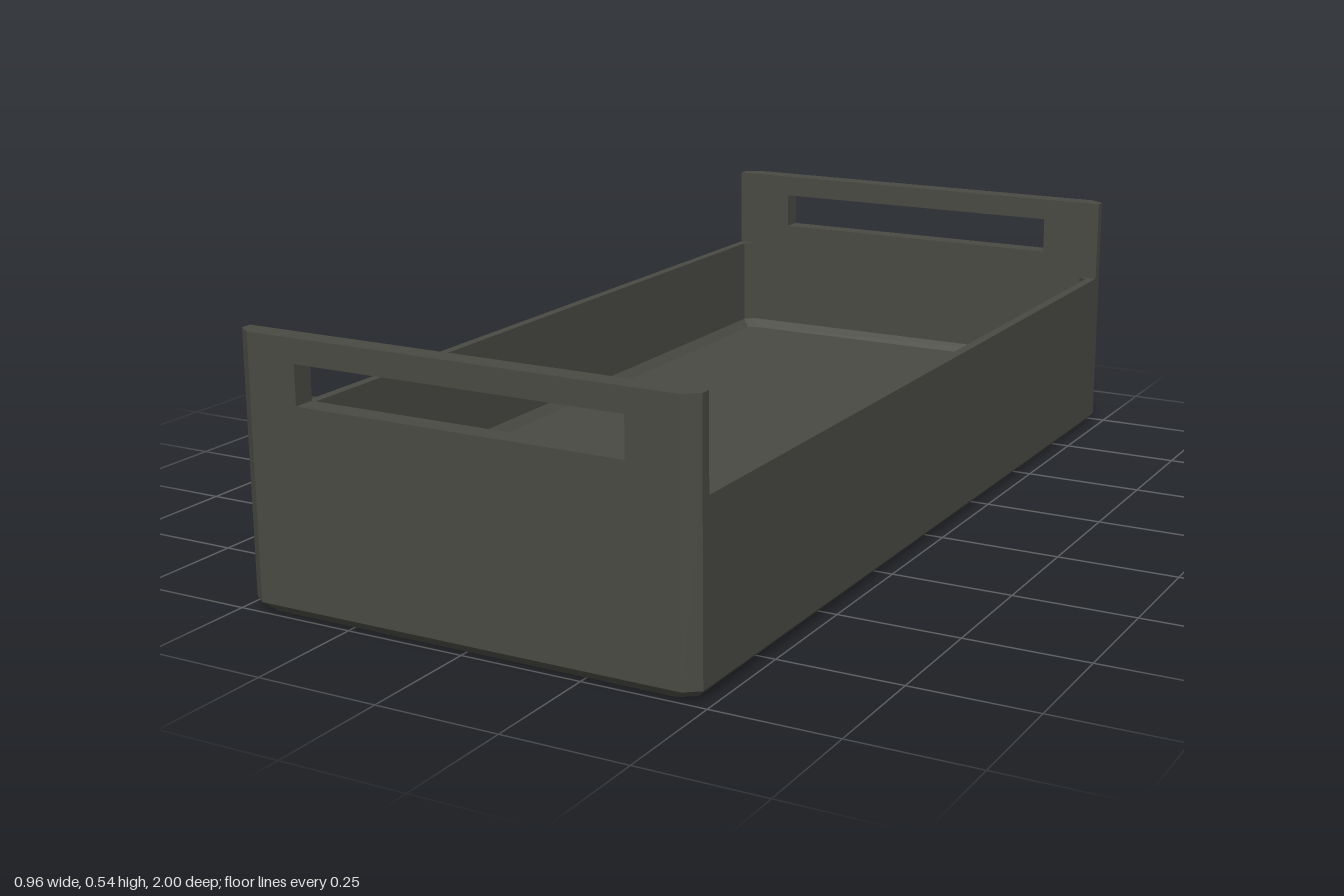
import * as THREE from 'three';

const HX = 0.48, HZ = 1.0;            // outer half width and half length
const RIM = 0.36, TOP = 0.54;         // side wall and end wall heights
const END = 0.045;                    // end wall thickness
const CX = 0.03, CZ = END / 2;        // vertical corner chamfer

// Chamfered rectangle at height y, counter-clockwise seen from above
function ring(y, hx, hz, cx, cz) {
  return [
    [hx, hz - cz], [hx, cz - hz], [hx - cx, -hz], [cx - hx, -hz],
    [-hx, cz - hz], [-hx, hz - cz], [cx - hx, hz], [hx - cx, hz],
  ].map(([x, z]) => [x, y, z]);
}

// Skin the rings in order and cap both ends
function loft(rings) {
  const p = [];
  const tri = (a, b, c) => p.push(...a, ...b, ...c);
  for (let r = 0; r < rings.length - 1; r++) {
    const a = rings[r], b = rings[r + 1], n = a.length;
    for (let i = 0; i < n; i++) {
      const j = (i + 1) % n;
      tri(a[i], a[j], b[j]);
      tri(a[i], b[j], b[i]);
    }
  }
  const first = rings[0], last = rings[rings.length - 1];
  for (let i = 1; i < first.length - 1; i++) {
    tri(first[0], first[i + 1], first[i]);
    tri(last[0], last[i], last[i + 1]);
  }
  const g = new THREE.BufferGeometry();
  g.setAttribute('position', new THREE.Float32BufferAttribute(p, 3));
  g.computeVertexNormals();
  return g;
}

// Raised end wall with a handle slot; its outer vertical edges are chamfered
function endWallGeometry() {
  const s = new THREE.Shape();
  s.moveTo(-HX, RIM).lineTo(HX, RIM).lineTo(HX, TOP).lineTo(-HX, TOP).closePath();
  const slot = new THREE.Path();
  slot.moveTo(-0.345, 0.413).lineTo(-0.345, 0.492).lineTo(0.345, 0.492).lineTo(0.345, 0.413).closePath();
  s.holes.push(slot);
  const g = new THREE.ExtrudeGeometry(s, { depth: END, steps: 2, bevelEnabled: false });
  const pos = g.attributes.position;
  for (let i = 0; i < pos.count; i++) {
    const x = pos.getX(i);
    if (pos.getZ(i) > END - 0.001 && Math.abs(x) > HX - 0.01) pos.setX(i, Math.sign(x) * (HX - CX));
  }
  g.translate(0, 0, HZ - END);
  g.computeVertexNormals();
  return g;
}

export function createModel() {
  const group = new THREE.Group();
  group.name = 'tray';
  const mat = new THREE.MeshStandardMaterial({ color: 0x4a4a44 });
  mat.name = 'dark grey';

  // Tray body: up the outside, over the rim, down to the raised floor
  const ix = HX - 0.02, iz = HZ - END;
  const body = new THREE.Mesh(loft([
    ring(0, HX - 0.02, HZ - 0.02, CX, CZ),
    ring(0.02, HX, HZ, CX, CZ),
    ring(RIM, HX, HZ, CX, CZ),
    ring(RIM, ix, iz, 0.02, 0.02),
    ring(0.16, ix, iz, 0.02, 0.02),
    ring(0.142, ix - 0.018, iz - 0.018, 0.015, 0.015),
  ]), mat);
  body.name = 'trayBody';
  group.add(body);

  // Handle walls at both ends
  const geo = endWallGeometry();
  for (const [name, turn] of [['frontHandleWall', 0], ['backHandleWall', Math.PI]]) {
    const wall = new THREE.Mesh(geo, mat);
    wall.name = name;
    wall.rotation.y = turn;
    group.add(wall);
  }
  return group;
}
